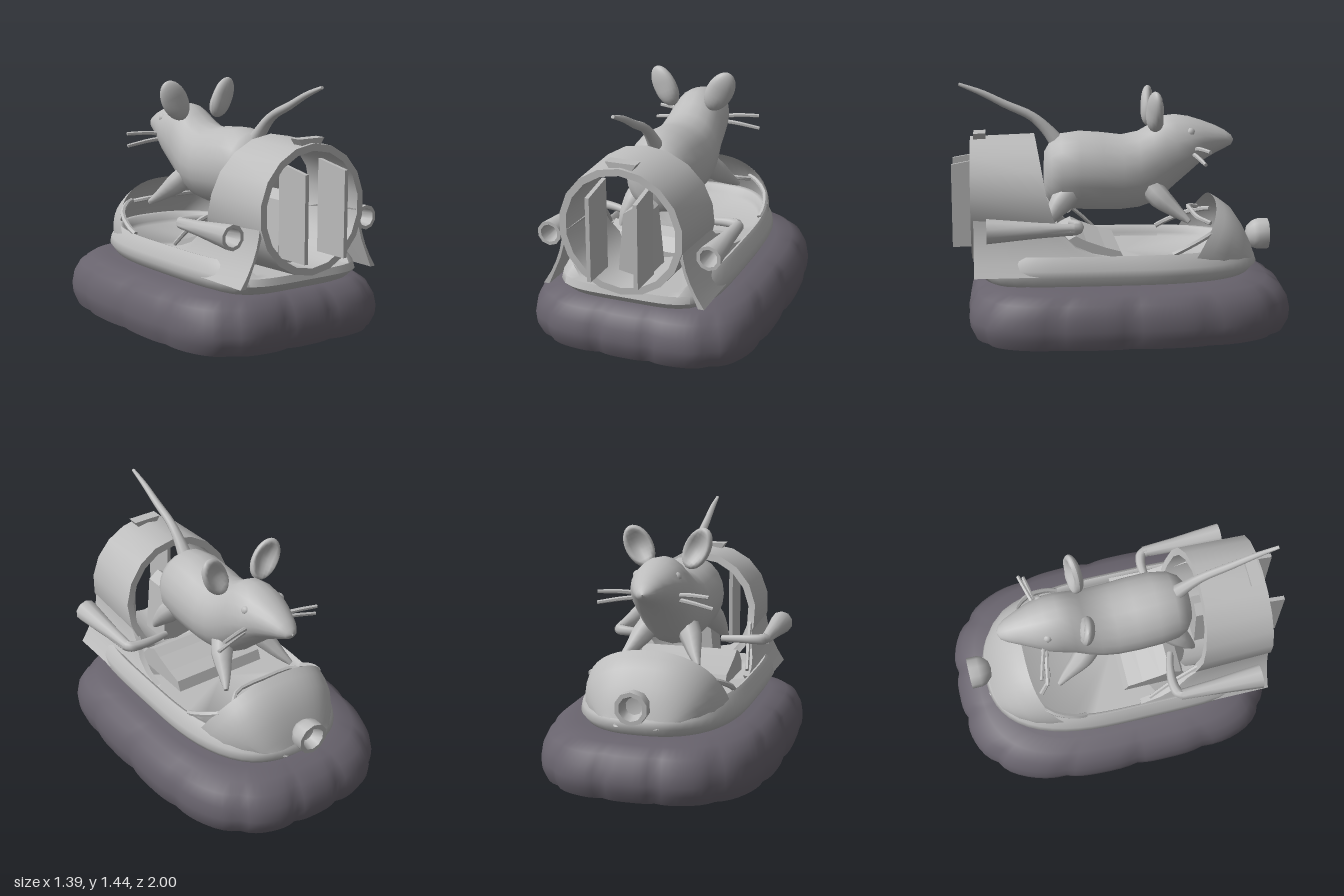
import * as THREE from 'three';
import { toCreasedNormals } from 'three/addons/utils/BufferGeometryUtils.js';

const grey = new THREE.MeshStandardMaterial({ color: 0xbcbcbc, side: THREE.DoubleSide });
grey.name = 'lightGrey';
const rubber = new THREE.MeshStandardMaterial({ color: 0x68636d, side: THREE.DoubleSide });
rubber.name = 'darkRubber';

// Skin a list of cross-sections (arrays of [x, y, z])
function loft(rows, closed = true, crease = 0.7) {
  const m = rows[0].length, pos = rows.flat(2), idx = [];
  for (let i = 0; i + 1 < rows.length; i++) {
    for (let j = 0; j < (closed ? m : m - 1); j++) {
      const k = (j + 1) % m, a = i * m + j, b = i * m + k, c = a + m, d = b + m;
      idx.push(a, c, b, b, c, d);
    }
  }
  const g = new THREE.BufferGeometry();
  g.setAttribute('position', new THREE.Float32BufferAttribute(pos, 3));
  g.setIndex(idx);
  g.computeVertexNormals();
  return crease ? toCreasedNormals(g, crease) : g;
}

const ring = (n, f) => Array.from({ length: n }, (_, i) => f(i / n * Math.PI * 2));
const shape = pts => new THREE.Shape(pts.map(p => new THREE.Vector2(...p)));
const plate = (pts, depth) => new THREE.ExtrudeGeometry(shape(pts), { depth, bevelEnabled: false });
const lathe = (pts, sides) =>
  toCreasedNormals(new THREE.LatheGeometry(pts.map(p => new THREE.Vector2(...p)), sides), 0.7);

// Tube of changing radius with closed ends
function taper(points, radii, sides = 8, steps = 12) {
  const curve = new THREE.CatmullRomCurve3(points.map(p => new THREE.Vector3(...p)));
  const fr = curve.computeFrenetFrames(steps), rows = [];
  const add = (i, r) => {
    const p = curve.getPoint(i / steps), N = fr.normals[i], B = fr.binormals[i];
    rows.push(ring(sides, t => p.clone().addScaledVector(N, r * Math.cos(t))
      .addScaledVector(B, -r * Math.sin(t)).toArray()));
  };
  add(0, 0);
  for (let i = 0; i <= steps; i++) {
    const f = i / steps * (radii.length - 1), k = Math.min(Math.floor(f), radii.length - 2);
    add(i, THREE.MathUtils.lerp(radii[k], radii[k + 1], f - k));
  }
  add(steps, 0);
  return loft(rows, true, 0.9);
}

// Rounded boat outline, blunter at +z
function outline(t, a, front, rear, nFront, nRear) {
  const c = Math.cos(t), s = Math.sin(t), n = s < 0 ? nFront : nRear;
  const r = Math.pow(Math.abs(c) ** n + Math.abs(s) ** n, -1 / n);
  return [a * c * r, (s < 0 ? front : rear) * s * r];
}

export function createModel() {
  const model = new THREE.Group();
  const add = (name, geo, mat = grey, parent = model) => {
    const mesh = new THREE.Mesh(geo, mat);
    mesh.name = name;
    parent.add(mesh);
    return mesh;
  };

  // Inflated skirt with scalloped bulges and a smooth hollow underside
  const skirt = [[0, 0.2], [0.6, 0.19], [0.78, 0.12], [0.87, 0.03], [0.93, 0.01], [0.965, 0.012],
    [0.995, 0.07], [1, 0.12], [0.985, 0.19], [0.94, 0.26], [0.86, 0.305], [0.74, 0.325], [0, 0.325]];
  add('skirt', loft(skirt.map(([s, y]) => ring(112, t => {
    const bulge = s < 0.93 ? 1 : 1 - 0.022 * (1 - Math.abs(Math.cos(t * 7 + Math.PI / 2 * 7))) ** 2;
    const [x, z] = outline(t, 0.695, 1, 0.915, 3, 4.2);
    return [x * s * bulge, y, z * s * bulge];
  })), true, 1), rubber);

  // Hull with a sunken deck, kept low under the duct
  const hull = [[0.9, 0.315], [0.94, 0.33], [1, 0.38], [0.985, 0.42], [0.93, 0.475], [0.9, 0.495],
    [0.87, 0.49], [0.85, 0.45], [0.83, 0.43], [0, 0.43]];
  add('hull', loft(hull.map(([s, y]) => ring(64, t => {
    const [x, z] = outline(t, 0.49, 0.81, 0.87, 2.6, 5);
    return [x * s, z > 0.35 && Math.abs(x * s) < 0.34 ? Math.min(y, 0.42) : y, z * s];
  })), true, 1.1));

  // Domed nose cowl with a broad top, its rear edge sweeping back low down
  const cowl = [[-0.55, 0.76, 0.43], [-0.6, 0.73, 0.415], [-0.66, 0.685, 0.385], [-0.72, 0.595, 0.33],
    [-0.77, 0.49, 0.25], [-0.805, 0.38, 0.12]];
  add('noseCowl', loft(cowl.map(([z, top, w], i) => Array.from({ length: 25 }, (_, j) => {
    const t = j / 24 * Math.PI, s = Math.sin(t), c = Math.cos(t);
    return [w * Math.sign(c) * Math.abs(c) ** 0.85, 0.38 + (top - 0.38) * s ** 0.85,
      z + 0.2 * (1 - s) ** 1.4 * (1 - i / 5)];
  })), false, 1.1));

  // Head lamp cup
  const lamp = add('headLamp', lathe([[0, 0], [0.05, 0.01], [0.085, 0.045], [0.095, 0.075],
    [0.095, 0.135], [0.07, 0.135], [0.05, 0.07], [0, 0.06]], 10));
  lamp.rotation.x = -Math.PI / 2;
  lamp.position.set(0, 0.515, -0.76);

  // Fan duct, its front lip reaching forward lower down
  const ductRow = (r, lip) => ring(18, t => {
    const x = r * Math.sin(t), y = 0.77 + r * Math.cos(t);
    const front = y > 0.77 ? 0.45 + (y - 0.77) * 0.17 : Math.max(0.36, 0.45 - (0.77 - y) * 0.4);
    return [-x, y, lip ? front : 0.89];
  });
  add('fanDuct', loft([ductRow(0.365, false), ductRow(0.378, true), ductRow(0.335, true),
    ductRow(0.325, false), ductRow(0.365, false)], true, 0.5));

  // Fairings blending the hull sides up into the duct
  const flare = y => 0.365 + 0.12 * Math.max(0, (0.75 - y) / 0.35) ** 2;
  const tops = [[0.875, 0.74], [0.6, 0.73], [0.46, 0.69], [0.38, 0.62], [0.3, 0.54], [0.2, 0.5], [0.08, 0.48]];
  for (const s of [1, -1]) {
    const section = ([z, top], w) => [0, 0.2, 0.4, 0.6, 0.8, 1, 1, 0].map((k, i) => {
      const y = 0.39 + (top - 0.39) * k;
      return [s * (flare(y) - (i > 5 ? 0.035 : 0) * w - 0.012), y, z];
    });
    const inner = section(tops[0], 1).map(p => [s * 0.37, 0.56, p[2]]);
    add('ductFairing', loft([inner, ...tops.map(t => section(t, 1))], true, 0.8));
  }

  // Engine pylon inside the duct
  add('enginePylon', plate([[-0.1, 0.42], [0.1, 0.42], [0.065, 0.8], [0, 0.845], [-0.065, 0.8]], 0.2))
    .position.z = 0.5;

  // Deck ramp rising toward the duct
  const ramp = add('deckRamp', plate([[0, 0.42], [-0.42, 0.42], [-0.42, 0.48], [-0.36, 0.55], [-0.29, 0.585],
    [-0.23, 0.555], [-0.12, 0.515], [-0.03, 0.49]], 0.6));
  ramp.rotation.y = Math.PI / 2;
  ramp.position.x = -0.3;

  // Rear beacon on the duct
  add('beacon', plate([[-0.06, 1.115], [0.06, 1.115], [0.09, 1.16], [-0.09, 1.16]], 0.07)).position.z = 0.8;

  // Control lever and steering bar
  add('lever', taper([[-0.4, 0.5, 0.14], [-0.375, 0.63, 0.28], [-0.345, 0.73, 0.45]], [0.012, 0.014], 6, 4));
  add('steeringBar', taper([[-0.27, 0.64, -0.5], [-0.2, 0.66, -0.44], [0, 0.665, -0.43], [0.2, 0.66, -0.44],
    [0.27, 0.64, -0.5]], [0.014, 0.014], 6, 10));

  // Mouse body from rump to nose: z, top, bottom, half width
  const mouse = new THREE.Group();
  mouse.name = 'mouse';
  model.add(mouse);
  const body = [[0.462, 0.92, 0.88, 0.01], [0.455, 1.04, 0.78, 0.11], [0.42, 1.1, 0.725, 0.165], [0.36, 1.145, 0.695, 0.197],
    [0.25, 1.16, 0.69, 0.213], [0.12, 1.15, 0.685, 0.215], [0, 1.135, 0.685, 0.21], [-0.1, 1.155, 0.695, 0.2],
    [-0.18, 1.2, 0.72, 0.185], [-0.25, 1.245, 0.765, 0.173], [-0.32, 1.252, 0.83, 0.17], [-0.4, 1.24, 0.9, 0.16],
    [-0.48, 1.215, 0.97, 0.13], [-0.56, 1.185, 1.015, 0.095], [-0.62, 1.155, 1.045, 0.068],
    [-0.66, 1.125, 1.065, 0.04], [-0.675, 1.1, 1.09, 0.005]];
  add('body', loft(body.map(([z, top, bottom, w]) => ring(20, t => [w * Math.cos(t),
    (top + bottom) / 2 + (top - bottom) / 2 * Math.sin(t), z])), true, 0), grey, mouse);
  add('tail', taper([[0, 1.07, 0.36], [0, 1.17, 0.44], [0, 1.25, 0.53], [0, 1.32, 0.68], [0, 1.39, 0.82],
    [0, 1.44, 0.95]], [0.05, 0.035, 0.027, 0.023, 0.018, 0.01], 8, 18), grey, mouse);

  // Cupped ear shape, hollow toward -z and swelling into the head at its root
  const earGeo = new THREE.SphereGeometry(1, 20, 14);
  const p = earGeo.attributes.position;
  for (let i = 0; i < p.count; i++) {
    const x = p.getX(i), y = p.getY(i), z = p.getZ(i), r2 = x * x + y * y;
    const thick = 0.045 + 0.02 * Math.max(0, -y);
    p.setXYZ(i, x * 0.082, y * 0.13, z < 0 ? z * thick + 0.06 * Math.max(0, 1 - r2 * 1.4) : z * thick);
  }
  earGeo.computeVertexNormals();

  // Paired parts
  for (const s of [1, -1]) {
    const pair = (name, pts, radii, sides, steps, parent = model) =>
      add(name, taper(pts.map(([x, y, z]) => [x * s, y, z]), radii, sides, steps), grey, parent);

    const ear = add('ear', earGeo, grey, mouse);
    ear.position.set(0.175 * s, 1.285, -0.185);
    ear.rotation.set(0.12, 0.25 * s, -0.5 * s);
    const eye = add('eye', new THREE.SphereGeometry(0.028, 10, 8), grey, mouse);
    eye.position.set(0.115 * s, 1.155, -0.4);

    pair('foreLeg', [[0.09, 0.86, -0.14], [0.15, 0.77, -0.22], [0.2, 0.69, -0.32], [0.235, 0.645, -0.38]],
      [0.07, 0.065, 0.035, 0.015], 8, 9, mouse);
    pair('hindLeg', [[0.1, 0.84, 0.28], [0.14, 0.75, 0.37], [0.175, 0.67, 0.43], [0.185, 0.62, 0.46]],
      [0.075, 0.068, 0.038, 0.015], 8, 9, mouse);

    // Whiskers angled slightly forward
    pair('whisker', [[0.1, 1.055, -0.42], [0.2, 1.065, -0.45], [0.325, 1.065, -0.485]], [0.013, 0.013, 0.011], 6, 5, mouse);
    pair('whisker', [[0.1, 1.03, -0.41], [0.2, 1.02, -0.43], [0.34, 0.995, -0.455]], [0.013, 0.013, 0.011], 6, 5, mouse);

    // Exhaust horn, open at the rear, and its feed pipe
    const horn = add('exhaustHorn', lathe([[0.032, 0], [0.045, 0.2], [0.072, 0.49], [0.052, 0.49],
      [0.03, 0.3], [0, 0.3]], 10));
    horn.rotation.x = Math.PI / 2;
    horn.position.set(0.475 * s, 0.66, 0.31);
    pair('exhaustPipe', [[0.475, 0.66, 0.34], [0.465, 0.66, 0.3], [0.41, 0.66, 0.28], [0.3, 0.655, 0.285],
      [0.2, 0.645, 0.31]], [0.034, 0.034, 0.03, 0.024, 0.02], 8, 15);

    // Grab rail
    pair('grabRail', [[0.24, 0.63, -0.58], [0.29, 0.62, -0.55], [0.385, 0.58, -0.45], [0.42, 0.52, -0.32],
      [0.415, 0.49, -0.26]], [0.014, 0.016, 0.016], 6, 10);

    // Rudder fin
    const rudder = add('rudder', plate([[-1, 0.505], [-0.78, 0.505], [-0.78, 1.03], [-1, 0.99]], 0.024));
    rudder.rotation.y = Math.PI / 2;
    rudder.position.x = 0.138 * s - 0.012;
  }
  return model;
}
